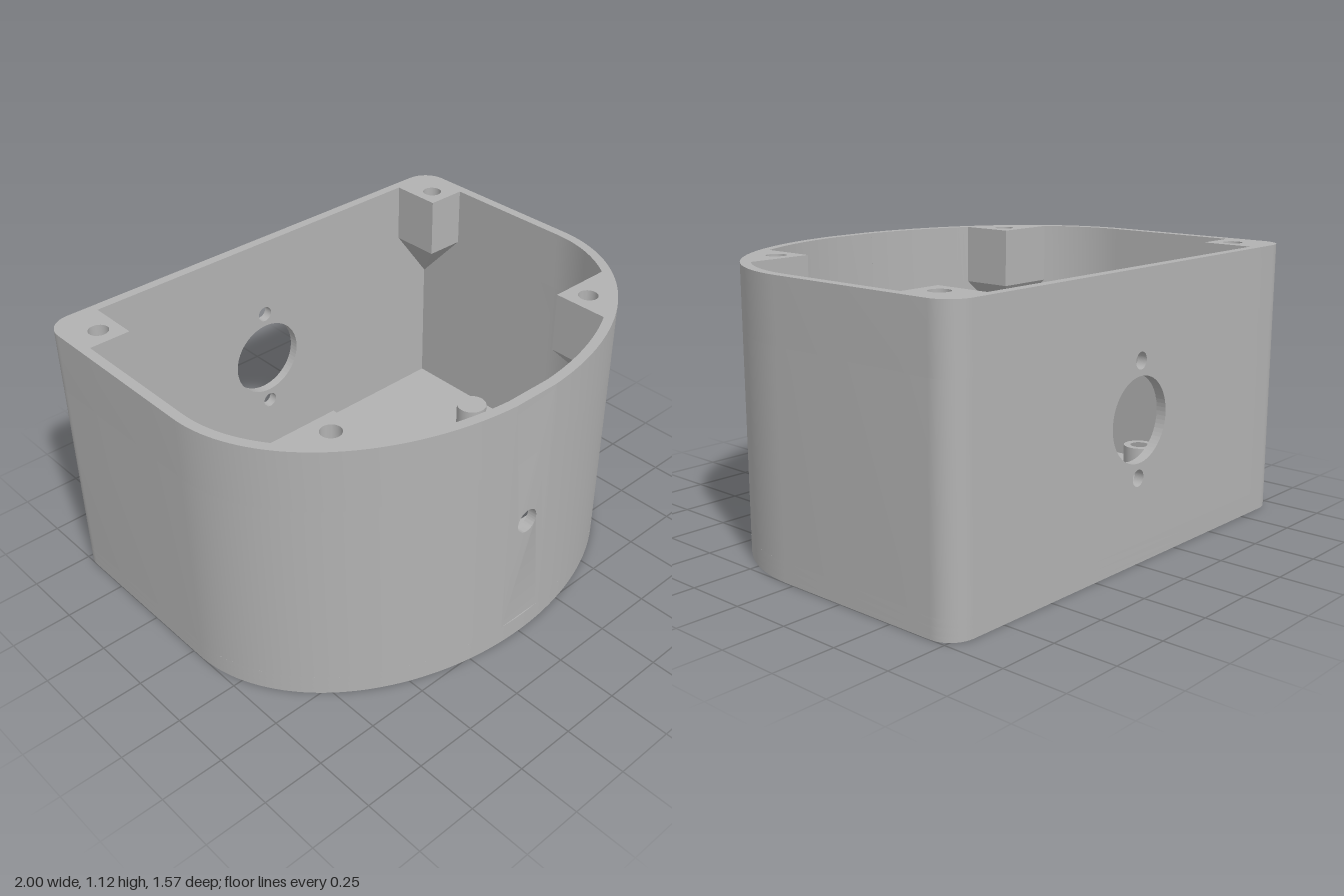
import * as THREE from 'three';
import { toCreasedNormals } from 'three/addons/utils/BufferGeometryUtils.js';
import { ConvexGeometry } from 'three/addons/geometries/ConvexGeometry.js';

const HEIGHT = 1.12, FLOOR = 0.08, POST_Y = 0.87; // rim, floor top, underside of posts
const BACK = -0.785, BACK_IN = -0.745, BEND = 0.04; // z of back faces and of the start of the curved front
const POST_X = 0.79, PANEL_X = 0.1, EYE_X = 0.5, EYE_Z = 0.075;

// Points on the elliptical front between two angles (0 = side, PI/2 = front centre)
function ellipse(rx, rz, a, b, n = 40) {
  return Array.from({ length: n + 1 }, (_, i) => {
    const t = a + (b - a) * i / n;
    return [rx * Math.cos(t), BEND + rz * Math.sin(t)];
  });
}
const outer = (a, b, n) => ellipse(1, 0.74, a, b, n);
const inner = (a, b, n) => ellipse(0.96, 0.7, a, b, n);

function arc(cx, cz, r, a, b, n) {
  return Array.from({ length: n + 1 }, (_, i) => {
    const t = a + (b - a) * i / n;
    return [cx + r * Math.cos(t), cz + r * Math.sin(t)];
  });
}
const circle = (x, z, r, n = 48) => arc(x, z, r, 0, Math.PI * 2 * (n - 1) / n, n - 1);
const mirror = (pts) => pts.map(([x, z]) => [-x, z]).reverse();
const rect = (x0, x1, z0, z1) => [[x0, z0], [x1, z0], [x1, z1], [x0, z1]];

// Extrude a plan outline (x, z) from y0 up to y1
function slab(pts, holes, y0, y1) {
  const v = (p) => p.map(([x, z]) => new THREE.Vector2(x, -z));
  const shape = new THREE.Shape(v(pts));
  holes.forEach((h) => shape.holes.push(new THREE.Path(v(h))));
  const g = new THREE.ExtrudeGeometry(shape, { depth: y1 - y0, bevelEnabled: false });
  g.rotateX(-Math.PI / 2).translate(0, y0, 0);
  return toCreasedNormals(g, 0.5);
}

// Upright wall panel with round holes given as [y, radius]
function panel(halfWidth, y0, y1, holes, z) {
  const shape = new THREE.Shape(rect(-halfWidth, halfWidth, y0, y1).map((p) => new THREE.Vector2(...p)));
  holes.forEach(([y, r]) => shape.holes.push(new THREE.Path().absarc(0, y, r, 0, Math.PI * 2, true)));
  return new THREE.ExtrudeGeometry(shape, { depth: 0.04, bevelEnabled: false, curveSegments: 32 }).translate(0, 0, z);
}

export function createModel() {
  const model = new THREE.Group();
  model.name = 'housing';
  const grey = new THREE.MeshStandardMaterial({ color: 0xb2b2b2 });
  grey.name = 'grey plastic';
  const add = (name, geometry) => {
    const mesh = new THREE.Mesh(geometry, grey);
    mesh.name = name;
    model.add(mesh);
    return mesh;
  };

  // Plan outline: curved front, straight sides, rounded back corners
  const corner = arc(0.9, BACK + 0.1, 0.1, 0, -Math.PI / 2, 10);
  const outline = [...outer(Math.PI, 0, 96), ...corner, ...mirror(corner)];

  // Floor in three layers: underside recesses, through holes, upper recesses
  const both = (r) => [circle(-EYE_X, EYE_Z, r), circle(EYE_X, EYE_Z, r)];
  add('floorUnderside', slab(outline, [...both(0.405), rect(-0.67, 0.67, -0.62, -0.43)], 0, 0.02));
  add('floorMiddle', slab(outline, both(0.29), 0.02, 0.05));
  const seat = [
    [0.13, BACK_IN], [0.13, -0.09],
    ...arc(EYE_X, EYE_Z, 0.325, Math.PI + 0.53, Math.PI * 3 - 0.5, 40),
    [0.13, 0.23], [0.13, BEND],
  ];
  add('floorTop', slab(outline, [[...seat, ...mirror(seat)]], 0.05, FLOOR));
  add('channelFloor', slab(rect(-0.13, 0.13, BACK_IN, BEND), [], 0.05, 0.065));

  // Ribs in the underside grille
  for (let i = 0; i < 4; i++) {
    const z = -0.583 + i * 0.039;
    add('grilleRib', slab(rect(-0.6, 0.6, z - 0.009, z + 0.009), [], 0.003, 0.021));
  }

  // Flat back wall with one large opening and two screw holes
  add('backWall', panel(POST_X, FLOOR, HEIGHT, [[0.56, 0.165], [0.782, 0.033], [0.338, 0.033]], BACK));

  // Small front panel with a hole, bent to the curve of the front
  const front = panel(PANEL_X, FLOOR, HEIGHT, [[0.56, 0.05]], 0.74);
  const pos = front.attributes.position;
  for (let i = 0; i < pos.count; i++) {
    const x = pos.getX(i);
    pos.setZ(i, pos.getZ(i) - 0.74 * (1 - Math.sqrt(1 - x * x)));
  }
  add('frontWall', toCreasedNormals(front, 0.5));

  // Side walls, mirrored: plain below, with corner posts at the top
  const aOut = Math.acos(PANEL_X), aIn = Math.acos(PANEL_X / 0.96);
  const aSide = Math.asin(0.33 / 0.7), aPost = Math.acos(0.575 / 0.96);
  const outside = [...outer(aOut, 0), ...corner, [POST_X, BACK]];
  const lower = [...outside, [POST_X, BACK_IN], [0.96, BACK_IN], ...inner(0, aIn)];
  const upper = [
    ...outside, [POST_X, -0.53], [0.96, -0.53],
    ...inner(0, aSide, 14), [0.575, 0.37], ...inner(aPost, aIn, 20),
  ];
  const postBases = [
    { base: rect(POST_X, 0.96, BACK_IN, -0.53), tip: [0.97, 0.63, -0.755] },
    { base: [[0.575, 0.37], [0.847, 0.37], [0.74, 0.5], [0.575, 0.6]], tip: [0.75, 0.66, 0.51] },
  ];
  for (const side of [1, -1]) {
    const flip = (pts) => (side > 0 ? pts : mirror(pts));
    add('sideWall', slab(flip(lower), [], FLOOR, POST_Y));
    const screws = [circle(0.87, -0.615, 0.04, 24), circle(0.66, 0.455, 0.04, 24)];
    add('sideWallWithPosts', slab(flip(upper), screws.map(flip), POST_Y, HEIGHT));

    // Pointed supports beneath the posts
    for (const { base, tip } of postBases) {
      const pts = base.map(([x, z]) => new THREE.Vector3(side * x, POST_Y, z));
      pts.push(new THREE.Vector3(side * tip[0], tip[1], tip[2]));
      add('postSupport', new ConvexGeometry(pts));
    }

    // Hollow screw bosses around each floor opening
    for (const [x, z] of [[0.785, -0.238], [0.215, 0.382]]) {
      add('screwBoss', slab(circle(side * x, z, 0.069, 32), [circle(side * x, z, 0.04, 24)], FLOOR, 0.2));
    }
  }
  return model;
}
